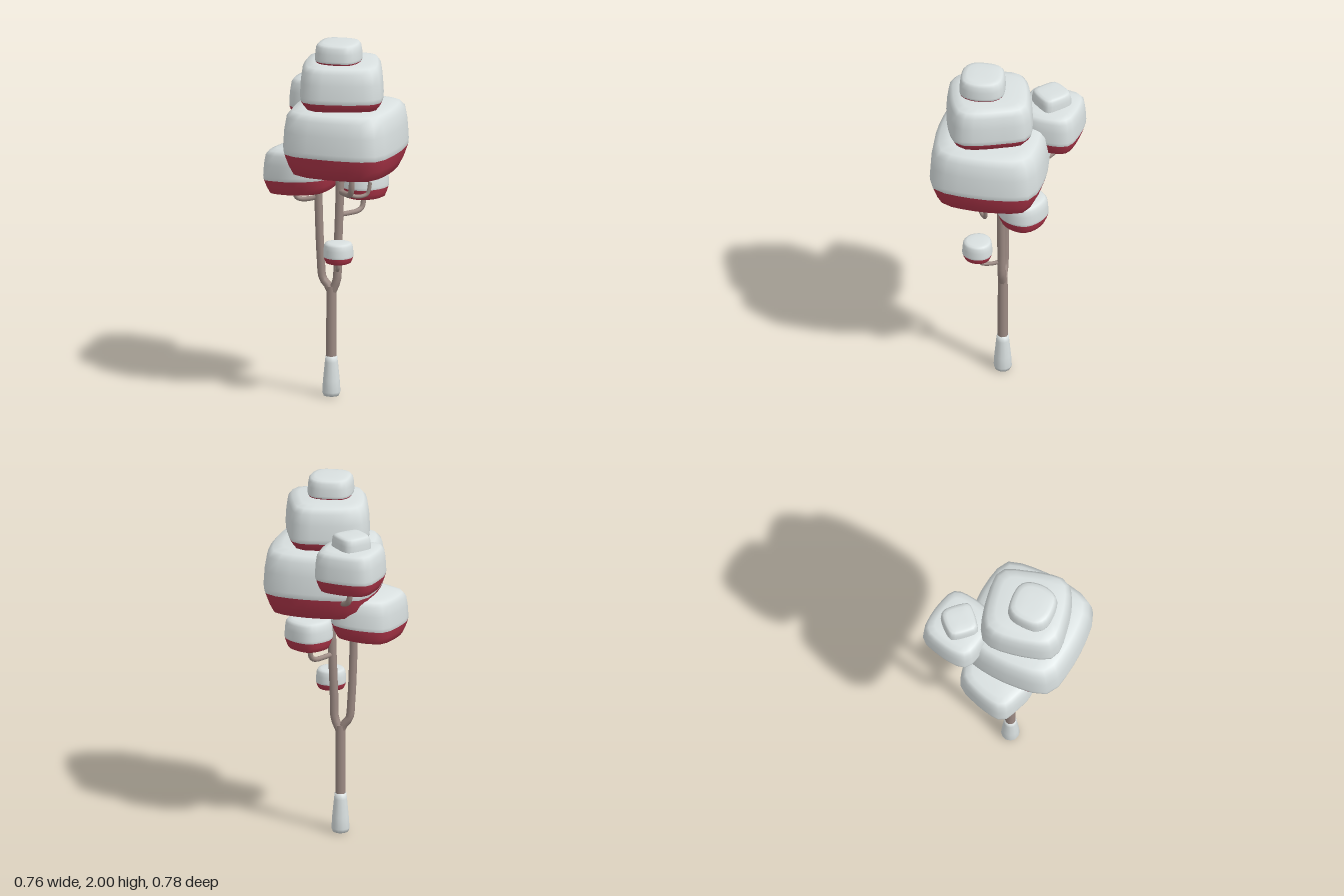
import * as THREE from 'three';

const snow = new THREE.MeshStandardMaterial({ color: 0xd9e0e0 });
snow.name = 'snow';
const red = new THREE.MeshStandardMaterial({ color: 0xb0364a });
red.name = 'red leaves';
const bark = new THREE.MeshStandardMaterial({ color: 0x9c8a83 });
bark.name = 'bark';

const SIDES = 28;
// Vertical section of a leaf clump: [height, scale]; heights 0..1 are red, 1..2 snow
const PROFILE = [
  [0, 0.4], [0, 0.74], [0.1, 0.84], [0.5, 0.92], [1, 0.99],
  [1.12, 1], [1.5, 0.98], [1.8, 0.94], [1.93, 0.85], [1.98, 0.68], [2, 0.35],
];

// Leaf clump lofted from a plan outline of [x, z] points; heights = bottom, snow line, top
function clump(name, outline, [low, line, high], tilt = 0) {
  const curve = new THREE.CatmullRomCurve3(
    outline.map(([x, z]) => new THREE.Vector3(x, 0, z)), true, 'centripetal');
  const ring = curve.getSpacedPoints(SIDES).slice(0, SIDES);
  if (THREE.ShapeUtils.area(ring.map((p) => new THREE.Vector2(p.x, p.z))) > 0) ring.reverse();
  const box = new THREE.Box3().setFromPoints(ring);
  const c = box.getCenter(new THREE.Vector3());
  const height = (h) => (h <= 1 ? low + (line - low) * h : line + (high - line) * (h - 1));

  const pos = [];
  for (const [h, s] of PROFILE) {
    for (const p of ring) {
      const dx = (p.x - c.x) * s;
      pos.push(c.x + dx, height(h) + dx * tilt, c.z + (p.z - c.z) * s);
    }
  }
  const bottom = pos.length / 3;
  pos.push(c.x, low, c.z, c.x, high, c.z);

  const redFaces = [], snowFaces = [];
  const last = (PROFILE.length - 1) * SIDES;
  for (let i = 0; i < SIDES; i++) {
    const j = (i + 1) % SIDES;
    redFaces.push(bottom, j, i);
    for (let k = 0; k < PROFILE.length - 1; k++) {
      const a = k * SIDES + i, b = k * SIDES + j;
      const faces = PROFILE[k][0] < 1 ? redFaces : snowFaces;
      faces.push(a, b, b + SIDES, a, b + SIDES, a + SIDES);
    }
    snowFaces.push(bottom + 1, last + i, last + j);
  }
  const geo = new THREE.BufferGeometry();
  geo.setAttribute('position', new THREE.Float32BufferAttribute(pos, 3));
  geo.setIndex([...redFaces, ...snowFaces]);
  geo.addGroup(0, redFaces.length, 0);
  geo.addGroup(redFaces.length, snowFaces.length, 1);
  geo.computeVertexNormals();
  const mesh = new THREE.Mesh(geo, [red, snow]);
  mesh.name = name;
  return mesh;
}

// Round limb through a few points
function limb(name, radius, points) {
  const curve = new THREE.CatmullRomCurve3(
    points.map((p) => new THREE.Vector3(...p)), false, 'centripetal');
  const mesh = new THREE.Mesh(new THREE.TubeGeometry(curve, 24, radius, 10), bark);
  mesh.name = name;
  return mesh;
}

export function createModel() {
  const tree = new THREE.Group();
  tree.name = 'snowyTree';

  // Flared snowy foot
  const footProfile = [[0, 0], [0.042, 0.004], [0.05, 0.025], [0.046, 0.09],
    [0.036, 0.19], [0.032, 0.222], [0, 0.23]].map(([r, y]) => new THREE.Vector2(r, y));
  const foot = new THREE.Mesh(new THREE.LatheGeometry(footProfile, 12), snow);
  foot.name = 'snowFoot';
  foot.position.set(-0.03, 0, 0.03);
  tree.add(foot);

  // Trunk and fork
  const trunk = new THREE.Mesh(new THREE.CylinderGeometry(0.027, 0.029, 0.42, 12), bark);
  trunk.name = 'trunk';
  trunk.position.set(-0.03, 0.4, 0.03);
  tree.add(trunk);
  tree.add(
    limb('rightFork', 0.022, [[-0.03, 0.57, 0.03], [-0.05, 0.615, 0.03], [-0.078, 0.65, 0.03],
      [-0.09, 0.76, 0.03], [-0.102, 1.05, 0.03], [-0.105, 1.2, 0.03]]),
    limb('leftFork', 0.023, [[-0.03, 0.57, 0.03], [-0.012, 0.61, 0.03], [0.002, 0.65, 0.03],
      [0.006, 0.78, 0.03], [0.016, 1.05, 0.03], [0.022, 1.32, 0.03]]),
  );

  // Bent branches carrying the clumps
  tree.add(
    limb('lowBranch', 0.011, [[0.005, 0.735, 0.03], [0.02, 0.725, 0.07], [0.035, 0.725, 0.12],
      [0.045, 0.74, 0.138], [0.048, 0.8, 0.145]]),
    limb('backBranch', 0.014, [[0.015, 1.01, 0.03], [0.05, 1.008, -0.03], [0.085, 1.012, -0.085],
      [0.1, 1.03, -0.105], [0.105, 1.12, -0.115]]),
    limb('frontBranch', 0.016, [[0.02, 1.14, 0.03], [0.07, 1.14, 0.08], [0.115, 1.155, 0.14],
      [0.13, 1.19, 0.162], [0.135, 1.3, 0.17]]),
    limb('twig', 0.011, [[0.11, 1.15, 0.13], [0.15, 1.14, 0.11], [0.19, 1.15, 0.085],
      [0.2, 1.17, 0.08], [0.208, 1.22, 0.078]]),
    limb('rightBranch', 0.014, [[-0.1, 1.105, 0.03], [-0.14, 1.092, 0.045], [-0.19, 1.088, 0.06],
      [-0.215, 1.1, 0.068], [-0.225, 1.17, 0.07]]),
    limb('upperBackBranch', 0.016, [[-0.05, 1.34, -0.13], [-0.09, 1.38, -0.19],
      [-0.13, 1.4, -0.23], [-0.145, 1.43, -0.242], [-0.15, 1.53, -0.245]]),
  );

  // Main crown of three stacked clumps
  tree.add(
    clump('lowerCrown', [[-0.235, 0.19], [-0.21, 0.31], [-0.17, 0.36], [-0.03, 0.387],
      [0.17, 0.387], [0.315, 0.355], [0.35, 0.31], [0.376, 0.16], [0.376, -0.01],
      [0.345, -0.17], [0.31, -0.205], [0.16, -0.235], [0, -0.23], [-0.17, -0.195],
      [-0.215, -0.14], [-0.243, 0.03]], [1.27, 1.4, 1.65]),
    clump('middleCrown', [[-0.19, -0.01], [-0.17, -0.07], [-0.09, -0.115], [0.02, -0.145],
      [0.155, -0.16], [0.2, -0.135], [0.25, -0.02], [0.285, 0.08], [0.305, 0.185],
      [0.285, 0.235], [0.18, 0.29], [0.07, 0.32], [-0.04, 0.335], [-0.1, 0.31],
      [-0.15, 0.2], [-0.18, 0.08]], [1.63, 1.69, 1.895]),
    clump('topCrown', [[-0.075, 0.1], [-0.065, 0.05], [-0.04, 0.02], [0.06, 0], [0.115, 0.008],
      [0.15, 0.04], [0.172, 0.13], [0.16, 0.195], [0.135, 0.23], [0.03, 0.25],
      [-0.03, 0.238], [-0.065, 0.2]], [1.87, 1.9, 2]),
  );

  // Upper back pair
  tree.add(
    clump('upperBackClump', [[-0.325, -0.18], [-0.31, -0.28], [-0.285, -0.36], [-0.25, -0.385],
      [-0.17, -0.39], [-0.07, -0.375], [0.005, -0.35], [0.03, -0.315], [0.03, -0.21],
      [0.01, -0.12], [-0.02, -0.065], [-0.07, -0.05], [-0.18, -0.055], [-0.285, -0.075],
      [-0.315, -0.1]], [1.48, 1.555, 1.72]),
    clump('upperBackCap', [[-0.257, -0.21], [-0.24, -0.25], [-0.17, -0.32], [-0.14, -0.32],
      [-0.06, -0.248], [-0.04, -0.215], [-0.06, -0.18], [-0.13, -0.115], [-0.155, -0.105],
      [-0.18, -0.12], [-0.24, -0.18]], [1.69, 1.71, 1.79]),
  );

  // Lower side clumps
  tree.add(
    clump('rightClump', [[-0.38, 0.14], [-0.362, 0.175], [-0.28, 0.21], [-0.2, 0.235],
      [-0.08, 0.225], [-0.01, 0.18], [0.01, 0.08], [0.005, -0.05], [-0.03, -0.14],
      [-0.1, -0.165], [-0.22, -0.16], [-0.31, -0.125], [-0.345, -0.05], [-0.37, 0.04]],
      [1.135, 1.22, 1.39], 0.09),
    clump('leftBackClump', [[-0.02, -0.12], [-0.005, -0.17], [0.05, -0.23], [0.085, -0.245],
      [0.15, -0.23], [0.22, -0.18], [0.242, -0.13], [0.23, -0.06], [0.18, 0.005],
      [0.12, 0.03], [0.05, 0.015], [0, -0.04]], [1.09, 1.15, 1.26]),
    clump('lowClump', [[-0.032, 0.15], [-0.015, 0.1], [0.03, 0.075], [0.08, 0.075],
      [0.12, 0.105], [0.132, 0.155], [0.11, 0.21], [0.06, 0.235], [0, 0.215]],
      [0.775, 0.81, 0.89]),
  );

  return tree;
}
